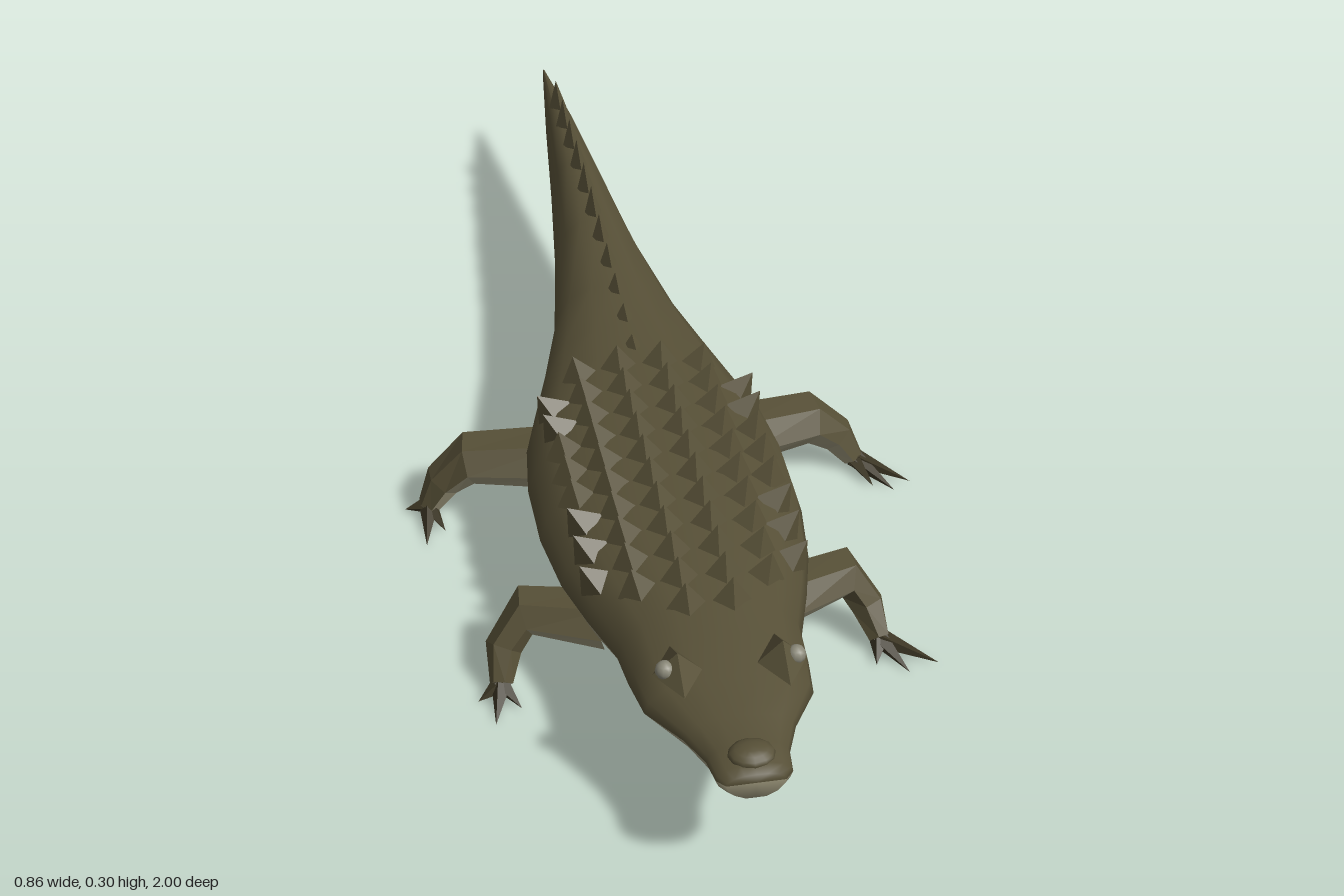
import * as THREE from 'three';

const CX = -0.027; // spine line
const mat = (name, color, extra = {}) => Object.assign(new THREE.MeshStandardMaterial({ color, ...extra }), { name });

// Body stations: z, half width, top, widest level, bottom
const STATIONS = [
  [1, 0.045, 0.228, 0.212, 0.183], [0.985, 0.058, 0.236, 0.212, 0.177], [0.94, 0.063, 0.237, 0.207, 0.168],
  [0.88, 0.085, 0.238, 0.2, 0.162], [0.8, 0.13, 0.247, 0.19, 0.155], [0.72, 0.14, 0.253, 0.18, 0.14],
  [0.65, 0.145, 0.258, 0.173, 0.115], [0.55, 0.175, 0.262, 0.166, 0.08], [0.45, 0.2, 0.265, 0.16, 0.052],
  [0.33, 0.215, 0.267, 0.157, 0.035], [0.2, 0.215, 0.267, 0.157, 0.032], [0.1, 0.202, 0.267, 0.16, 0.036],
  [0, 0.17, 0.267, 0.166, 0.05], [-0.08, 0.142, 0.268, 0.178, 0.068], [-0.2, 0.107, 0.27, 0.183, 0.09],
  [-0.4, 0.074, 0.27, 0.178, 0.115], [-0.6, 0.049, 0.265, 0.19, 0.14], [-0.8, 0.027, 0.248, 0.202, 0.165],
  [-1, 0.002, 0.216, 0.208, 0.198],
];
// Right half of the cross-section: fraction of width, fraction of height
const UPPER = [[1, 0], [0.95, 0.35], [0.74, 0.75], [0.38, 0.96], [0, 1]];
const LOWER = [[0, -1], [0.34, -0.99], [0.7, -0.72], [0.92, -0.34]];
const mirrorX = (a) => a.map(([x, y]) => [-x, y]).reverse();
const RING = [...UPPER, ...mirrorX(UPPER.slice(0, 4)), ...mirrorX(LOWER.slice(1)), ...LOWER];
const UPPER_SIDES = 8;

function stationAt(z) {
  let i = 0;
  while (i < STATIONS.length - 2 && STATIONS[i + 1][0] > z) i++;
  const a = STATIONS[i], b = STATIONS[i + 1], t = (z - a[0]) / (b[0] - a[0]);
  return a.map((v, k) => v + (b[k] - v) * t);
}

// Height and sideways tilt of the back at a given offset from the spine
function backAt(dx, z) {
  const [, w, top, mid] = stationAt(z);
  const f = Math.min(Math.abs(dx) / w, 0.96);
  let k = 0;
  while (k < UPPER.length - 2 && UPPER[k + 1][0] > f) k++;
  const a = UPPER[k], b = UPPER[k + 1];
  const h = a[1] + (b[1] - a[1]) * (f - a[0]) / (b[0] - a[0]);
  const slope = ((b[1] - a[1]) * (top - mid)) / ((a[0] - b[0]) * w);
  return { y: mid + h * (top - mid), tilt: -Math.sign(dx) * Math.atan(slope) };
}

function bodyGeometry() {
  const pos = [], upper = [], lower = [], n = RING.length;
  for (const [z, w, top, mid, bottom] of STATIONS) {
    for (const [x, y] of RING) pos.push(CX + x * w, mid + y * (y > 0 ? top - mid : mid - bottom), z);
  }
  const tip = pos.length / 3;
  pos.push(CX, STATIONS[0][3], 1.0);
  for (let j = 0; j < n; j++) {
    const list = j < UPPER_SIDES ? upper : lower, k = (j + 1) % n;
    list.push(tip, j, k);
    for (let i = 0; i < STATIONS.length - 1; i++) {
      const a = i * n + j, b = i * n + k;
      list.push(a, a + n, b, b, a + n, b + n);
    }
  }
  const g = new THREE.BufferGeometry();
  g.setAttribute('position', new THREE.Float32BufferAttribute(pos, 3));
  g.setIndex([...upper, ...lower]);
  g.addGroup(0, upper.length, 0);
  g.addGroup(upper.length, lower.length, 1);
  g.computeVertexNormals();
  return g;
}

// Faceted limb through joints [x, y, z, radius]; faces looking down go in group 1
function limbGeometry(joints) {
  const sides = 6, pts = joints.map((j) => new THREE.Vector3(...j.slice(0, 3)));
  const rings = pts.map((p, i) => {
    const t = pts[Math.min(i + 1, pts.length - 1)].clone().sub(pts[Math.max(i - 1, 0)]).normalize();
    const u = new THREE.Vector3(0, 0, 1).addScaledVector(t, -t.z).normalize();
    const v = t.clone().cross(u);
    return Array.from({ length: sides }, (_, k) => {
      const a = (k / sides) * Math.PI * 2;
      return p.clone().addScaledVector(u, Math.cos(a) * joints[i][3]).addScaledVector(v, Math.sin(a) * joints[i][3] * 0.85);
    });
  });
  const parts = [[], []];
  const tri = (a, b, c) => {
    const nrm = b.clone().sub(a).cross(c.clone().sub(a)).normalize();
    parts[nrm.y < -0.25 ? 1 : 0].push(...a.toArray(), ...b.toArray(), ...c.toArray());
  };
  for (let k = 0; k < sides; k++) {
    const m = (k + 1) % sides;
    for (let i = 0; i < rings.length - 1; i++) {
      tri(rings[i][k], rings[i][m], rings[i + 1][k]);
      tri(rings[i][m], rings[i + 1][m], rings[i + 1][k]);
    }
    tri(pts[pts.length - 1], rings[rings.length - 1][k], rings[rings.length - 1][m]);
  }
  const g = new THREE.BufferGeometry();
  g.setAttribute('position', new THREE.Float32BufferAttribute([...parts[0], ...parts[1]], 3));
  g.addGroup(0, parts[0].length / 3, 0);
  g.addGroup(parts[0].length / 3, parts[1].length / 3, 1);
  g.computeVertexNormals();
  return g;
}

const LEGS = {
  leftFrontLeg: {
    joints: [[0.11, 0.115, 0.49, 0.055], [0.235, 0.115, 0.445, 0.046], [0.268, 0.065, 0.47, 0.034], [0.28, 0.025, 0.51, 0.022]],
    claws: [[0.365, 0.01, 0.57], [0.315, 0.006, 0.58], [0.265, 0.012, 0.56]],
  },
  rightFrontLeg: {
    joints: [[-0.16, 0.115, 0.49, 0.055], [-0.285, 0.115, 0.445, 0.046], [-0.325, 0.065, 0.47, 0.034], [-0.335, 0.025, 0.51, 0.022]],
    claws: [[-0.375, 0.01, 0.53], [-0.355, 0.006, 0.585], [-0.31, 0.012, 0.56]],
  },
  leftHindLeg: {
    joints: [[0.12, 0.115, 0.06, 0.06], [0.27, 0.105, 0.02, 0.05], [0.32, 0.065, 0.025, 0.036], [0.345, 0.025, 0.04, 0.022]],
    claws: [[0.43, 0.01, 0.105], [0.4, 0.006, 0.12], [0.365, 0.012, 0.11]],
  },
  rightHindLeg: {
    joints: [[-0.17, 0.12, 0.07, 0.06], [-0.32, 0.115, 0.04, 0.05], [-0.365, 0.07, 0.035, 0.036], [-0.39, 0.025, 0.04, 0.022]],
    claws: [[-0.43, 0.012, 0.03], [-0.405, 0.006, 0.125], [-0.37, 0.012, 0.1]],
  },
};

export function createModel() {
  const hide = mat('olive hide', 0x575037);
  const belly = mat('pale belly', 0x9b957a);
  const hideFlat = mat('olive plates', 0x575037, { flatShading: true });
  const clawMat = mat('dark claw', 0x3d3725, { flatShading: true });
  const eyeMat = mat('grey eye', 0x8a8878);
  const model = new THREE.Group();
  const add = (name, geometry, material, parent = model) => {
    const m = new THREE.Mesh(geometry, material);
    m.name = name;
    parent.add(m);
    return m;
  };

  add('body', bodyGeometry(), [hide, belly]);

  // Legs with three claws each
  for (const [name, { joints, claws }] of Object.entries(LEGS)) {
    const leg = new THREE.Group();
    leg.name = name;
    model.add(leg);
    add('limb', limbGeometry(joints), [hide, belly], leg);
    const foot = new THREE.Vector3(...joints[3].slice(0, 3));
    for (const c of claws) {
      const dir = new THREE.Vector3(...c).sub(foot), len = dir.length();
      const claw = add('claw', new THREE.ConeGeometry(0.017, len, 4), clawMat, leg);
      claw.position.copy(foot).addScaledVector(dir, 0.5);
      claw.quaternion.setFromUnitVectors(new THREE.Vector3(0, 1, 0), dir.normalize());
    }
  }

  // Rows of pointed back plates
  const plate = new THREE.ConeGeometry(0.034, 0.05, 4).translate(0, 0.019, 0);
  for (let row = 0; row < 11; row++) {
    const z = 0.03 + row * 0.061;
    const reach = row > 9 ? 1 : row === 0 || row > 8 ? 2 : 3;
    for (let k = 0; k < reach; k++) for (const s of [-1, 1]) {
      const dx = s * [0.035, 0.1, 0.155][k];
      const { y, tilt } = backAt(dx, z);
      const p = add('backPlate', plate, hideFlat);
      p.position.set(CX + dx, y, z);
      p.rotation.z = tilt * 0.8;
      p.scale.z = 0.85;
    }
  }

  // Tail ridge, growing toward the end and leaning back
  for (let i = 0; i < 11; i++) {
    const z = -0.03 - i * 0.08, h = 0.02 + 0.03 * Math.min(i / 5, 1);
    const spike = add('tailSpike', new THREE.ConeGeometry(0.036, h, 4).translate(0, h / 2 - 0.006, 0), hideFlat);
    spike.position.set(CX, backAt(0, z).y, z);
    spike.scale.x = 0.45;
    spike.rotation.x = -0.4;
  }

  // Brow bumps and eyes
  for (const s of [-1, 1]) {
    const brow = add('brow', new THREE.OctahedronGeometry(1), hideFlat);
    brow.scale.set(0.038, 0.037, 0.06);
    brow.position.set(CX + s * 0.08, 0.265, 0.8);
    const eye = add('eye', new THREE.SphereGeometry(0.015, 10, 8), eyeMat);
    eye.position.set(CX + s * 0.1, 0.277, 0.805);
  }

  // Nose bump
  const nose = add('nose', new THREE.SphereGeometry(1, 12, 8), hide);
  nose.scale.set(0.036, 0.016, 0.03);
  nose.position.set(CX, 0.235, 0.962);
  return model;
}
